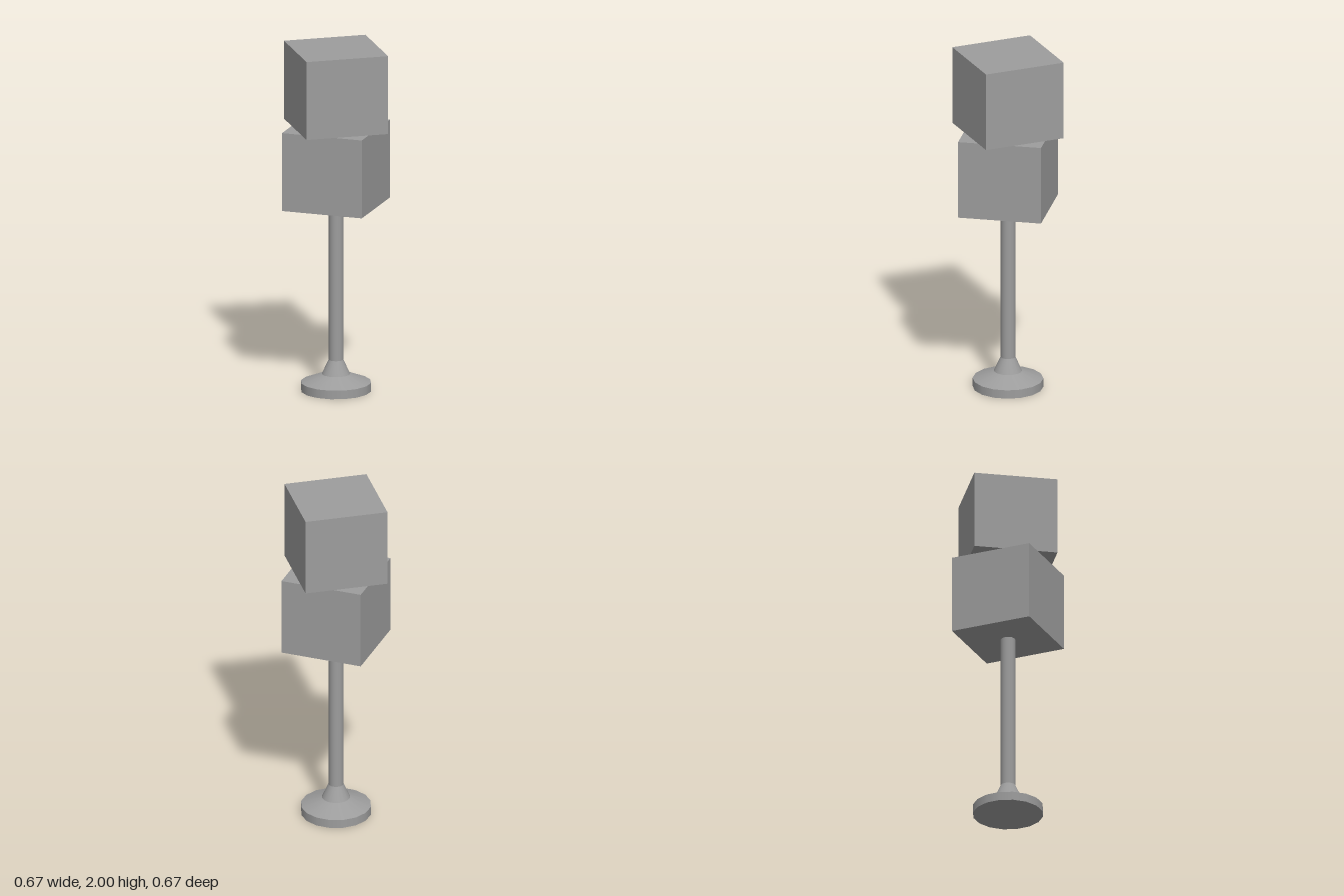
import * as THREE from 'three';

export function createModel() {
  const model = new THREE.Group();
  const material = new THREE.MeshStandardMaterial({ color: 0x9d9d9d });
  const add = (parent, name, geometry, y, turn = 0) => {
    const mesh = new THREE.Mesh(geometry, material);
    mesh.name = name;
    mesh.position.y = y;
    mesh.rotation.y = THREE.MathUtils.degToRad(turn);
    parent.add(mesh);
  };

  // Round stand: each section is [name, bottom radius, top radius, bottom y, top y, open]
  const stand = new THREE.Group();
  stand.name = 'stand';
  model.add(stand);
  const sections = [
    ['baseDisc', 0.2, 0.2, 0, 0.05, false],
    ['baseSlope', 0.2, 0.08, 0.05, 0.097, true],
    ['baseCollar', 0.08, 0.042, 0.097, 0.18, true],
    ['pole', 0.042, 0.042, 0.18, 1.088, true],
  ];
  for (const [name, r0, r1, y0, y1, open] of sections) {
    add(stand, name, new THREE.CylinderGeometry(r1, r0, y1 - y0, 16, 1, open), (y0 + y1) / 2);
  }

  // Two stacked blocks, turned against each other
  const side = 0.478, height = 0.456;
  const block = new THREE.BoxGeometry(side, height, side);
  add(model, 'lowerBlock', block, 2 - height * 1.5, 35);
  add(model, 'upperBlock', block, 2 - height / 2, -20);

  return model;
}
